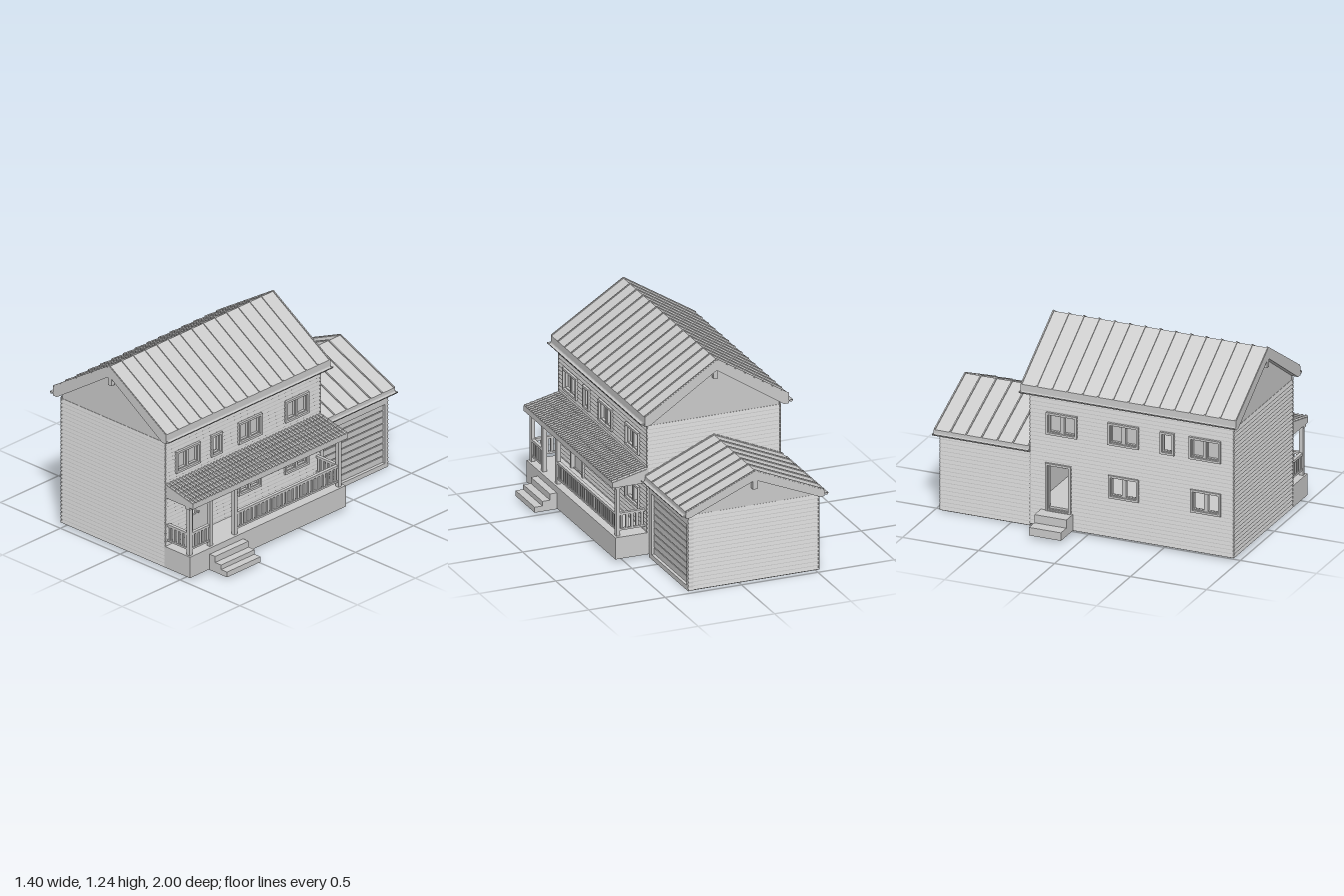
import * as THREE from 'three';
import { mergeGeometries } from 'three/addons/utils/BufferGeometryUtils.js';

const mat = new THREE.MeshStandardMaterial({ color: 0xcccccc, side: THREE.DoubleSide, flatShading: true });
const CX = -0.09; // ridge line of both roofs

function add(parent, name, geo) {
  const m = new THREE.Mesh(geo, mat);
  m.name = name;
  parent.add(m);
  return m;
}
function boxGeo(x0, x1, y0, y1, z0, z1) {
  return new THREE.BoxGeometry(x1 - x0, y1 - y0, z1 - z0)
    .translate((x0 + x1) / 2, (y0 + y1) / 2, (z0 + z1) / 2);
}
const box = (parent, name, ...b) => add(parent, name, boxGeo(...b));

// Extrude an outline in x,y from z0 to z1
function prism(points, z0, z1) {
  const shape = new THREE.Shape(points.map(p => new THREE.Vector2(...p)));
  return new THREE.ExtrudeGeometry(shape, { depth: z1 - z0, bevelEnabled: false }).translate(0, 0, z0);
}

// A wall frame: local +x points outward, local z runs along the wall
function wallFrame(parent, name, angle) {
  const g = new THREE.Group();
  g.name = name;
  g.rotation.y = angle;
  parent.add(g);
  return g;
}

// Lapped boards, interrupted at openings [z0, z1, y0, y1]
function siding(g, face, y0, y1, z0, z1, openings = []) {
  const n = Math.round((y1 - y0) / 0.025), h = (y1 - y0) / n, geos = [];
  for (let i = 0; i < n; i++) {
    const a = y0 + i * h, b = a + h;
    let start = z0;
    const cuts = openings.filter(o => o[2] < b - 0.006 && o[3] > a + 0.006).sort((p, q) => p[0] - q[0]);
    for (const c of [...cuts, [z1, z1]]) {
      if (c[0] - start > 0.002) {
        geos.push(prism([[face - 0.009, a], [face, a], [face, a + 0.004], [face - 0.007, b], [face - 0.009, b]], start, c[0]));
      }
      start = Math.max(start, c[1]);
    }
  }
  add(g, 'siding', mergeGeometries(geos));
}

// Flat wall with real openings behind the siding
function piercedWall(g, face, y0, y1, z0, z1, openings) {
  const rect = (T, a, b, c, d) => new T([[a, c], [b, c], [b, d], [a, d]].map(p => new THREE.Vector2(...p)));
  const s = rect(THREE.Shape, z0, z1, y0, y1);
  s.holes = openings.map(o => rect(THREE.Path, ...o));
  const geo = new THREE.ExtrudeGeometry(s, { depth: 0.03, bevelEnabled: false });
  add(g, 'wall', geo.rotateY(-Math.PI / 2).translate(face - 0.009, 0, 0));
}

// Casing, sashes and centre bar around an opening
function windowTrim(g, face, [z0, z1, y0, y1], double, glazed) {
  const w = 0.014, o = face + 0.011, i = face - 0.012;
  const parts = [
    boxGeo(i, o, y0 - w, y0, z0 - w, z1 + w), boxGeo(i, o, y1, y1 + w, z0 - w, z1 + w),
    boxGeo(i, o, y0, y1, z0 - w, z0), boxGeo(i, o, y0, y1, z1, z1 + w),
  ];
  const m = (z0 + z1) / 2, s = 0.007;
  if (double) parts.push(boxGeo(i - 0.01, face, y0, y1, m - s, m + s));
  const sashes = double ? [[z0, m - s], [m + s, z1]] : [[z0, z1]];
  for (const [a, b] of sashes) {
    parts.push(boxGeo(i - 0.01, face - 0.004, y0, y1, a, a + s), boxGeo(i - 0.01, face - 0.004, y0, y1, b - s, b),
      boxGeo(i - 0.01, face - 0.004, y0, y0 + s, a, b), boxGeo(i - 0.01, face - 0.004, y1 - s, y1, a, b));
  }
  if (glazed) parts.push(boxGeo(i - 0.012, i - 0.009, y0, y1, z0, z1));
  add(g, 'window', mergeGeometries(parts));
}

// Gable roof with standing seams, gutters and a king post at each exposed end
function gableRoof(parent, name, o) {
  const g = new THREE.Group();
  g.name = name;
  parent.add(g);
  const { half, wall, ridge, eave, soffit, under, z0, z1 } = o;
  add(g, 'roofSlab', prism([[CX - half, soffit], [CX - wall, soffit], [CX, under], [CX + wall, soffit],
    [CX + half, soffit], [CX + half, eave], [CX, ridge], [CX - half, eave]], z0, z1));
  const n = Math.round((z1 - z0) / 0.1), seams = [], t = 0.007;
  for (const s of [-1, 1]) {
    for (let i = 0; i <= n; i++) {
      const z = z0 + 0.006 + (z1 - z0 - 0.012) * i / n;
      seams.push(prism([[CX, ridge - 0.002], [CX, ridge + t], [CX + s * half, eave + t], [CX + s * half, eave - 0.002]], z - 0.004, z + 0.004));
    }
    const x = CX + s * (half + 0.014);
    const arc = new THREE.CylinderGeometry(0.013, 0.013, z1 - z0, 8, 1, false, 0, Math.PI)
      .rotateZ(-Math.PI / 2).rotateY(Math.PI / 2);
    arc.computeBoundingBox();
    const c = arc.boundingBox.getCenter(new THREE.Vector3());
    add(g, 'gutter', arc.translate(x - c.x, soffit + 0.014 - c.y, (z0 + z1) / 2 - c.z));
  }
  add(g, 'seams', mergeGeometries(seams));
  for (const z of o.posts) box(g, 'kingPost', CX - 0.014, CX + 0.014, under - 0.06, under + 0.01, z - 0.014, z + 0.014);
}

function mainHouse(root) {
  const g = new THREE.Group();
  g.name = 'mainHouse';
  root.add(g);
  // Floors and ceiling
  box(g, 'foundation', -0.52, 0.34, 0.015, 0.15, -0.365, 0.96);
  box(g, 'upperFloor', -0.5, 0.32, 0.5, 0.53, -0.36, 0.95);
  box(g, 'ceiling', -0.52, 0.34, 0.85, 0.87, -0.365, 0.96);
  // End walls with plain gables
  const gable = [[-0.521, 0.02], [0.341, 0.02], [0.341, 0.88], [CX, 1.17], [-0.521, 0.88]];
  add(g, 'frontWall', prism(gable, 0.93, 0.961));
  add(g, 'backWall', prism(gable, -0.366, -0.336));
  siding(wallFrame(g, 'frontSiding', -Math.PI / 2), 0.97, 0.02, 0.85, -0.35, 0.53);
  siding(wallFrame(g, 'backSiding', Math.PI / 2), 0.375, 0.02, 0.85, -0.53, 0.35);

  // Porch side
  const right = wallFrame(g, 'porchSide', 0);
  const upR = [[0.69, 0.87, 0.635, 0.75], [0.155, 0.33, 0.635, 0.75], [-0.25, -0.075, 0.635, 0.75]];
  const slotR = [0.5, 0.565, 0.635, 0.75];
  const lowR = [[0.16, 0.33, 0.29, 0.4], [-0.25, -0.07, 0.29, 0.4]];
  const door = [0.585, 0.745, 0.16, 0.425];
  const allR = [...upR, slotR, ...lowR, door];
  piercedWall(right, 0.35, 0.02, 0.87, -0.366, 0.961, allR);
  siding(right, 0.35, 0.02, 0.87, -0.375, 0.97, allR);
  upR.forEach(w => windowTrim(right, 0.35, w, true, true));
  windowTrim(right, 0.35, slotR, false, false);
  lowR.forEach(w => windowTrim(right, 0.35, w, true, false));
  windowTrim(right, 0.35, door, false, false);
  box(right, 'doorLeaf', 0.322, 0.338, 0.16, 0.425, 0.585, 0.695);
  box(right, 'sidelightPanel', 0.322, 0.338, 0.16, 0.28, 0.695, 0.745);
  box(right, 'sidelightHead', 0.322, 0.338, 0.4, 0.425, 0.695, 0.745);
  box(right, 'doorKnob', 0.338, 0.348, 0.285, 0.295, 0.675, 0.685);

  // Opposite side, where local z is reversed
  const left = wallFrame(g, 'stepSide', Math.PI);
  const flip = o => [-o[1], -o[0], o[2], o[3]];
  const upL = upR.map(flip);
  const lowL = [[-0.33, -0.16, 0.29, 0.41], [-0.87, -0.7, 0.29, 0.41]];
  const backDoor = [0.115, 0.255, 0.13, 0.42];
  const allL = [...upL, flip(slotR), ...lowL, backDoor];
  piercedWall(left, 0.53, 0.02, 0.87, -0.961, 0.366, allL);
  siding(left, 0.53, 0.02, 0.87, -0.97, 0.375, allL);
  upL.forEach(w => windowTrim(left, 0.53, w, true, true));
  windowTrim(left, 0.53, flip(slotR), false, false);
  lowL.forEach(w => windowTrim(left, 0.53, w, true, false));
  windowTrim(left, 0.53, backDoor, false, false);
  box(g, 'sideStep', -0.625, -0.52, 0.02, 0.125, -0.3, -0.09);
  box(g, 'sideStep', -0.705, -0.625, 0.02, 0.072, -0.3, -0.09);

  gableRoof(g, 'mainRoof', { half: 0.472, wall: 0.44, ridge: 1.228, eave: 0.93, soffit: 0.87, under: 1.16, z0: -0.42, z1: 1, posts: [0.984, -0.39] });
}

function porch(root) {
  const g = new THREE.Group();
  g.name = 'porch';
  root.add(g);
  box(g, 'deck', 0.34, 0.555, 0.02, 0.16, -0.375, 0.97);
  [[0.6, 0.12], [0.65, 0.08], [0.7, 0.05]].forEach(([x, y]) => box(g, 'porchStep', x - 0.05, x, 0.015, y, 0.51, 0.8));
  // Posts with caps and bases
  for (const z of [0.945, 0.77, 0.557, -0.34]) {
    box(g, 'post', 0.514, 0.54, 0.16, 0.49, z - 0.013, z + 0.013);
    box(g, 'postCap', 0.508, 0.546, 0.468, 0.486, z - 0.019, z + 0.019);
  }
  // Railings along the front, then across both ends
  const rails = [];
  const span = (a, b, count, piece) => {
    rails.push(piece(a, b, 0.29, 0.306, 0.011), piece(a, b, 0.192, 0.204, 0.009));
    for (let i = 0; i < count; i++) {
      const c = a + (b - a) * (i + 0.5) / count;
      rails.push(piece(c - 0.008, c + 0.008, 0.2, 0.295, 0.006));
    }
  };
  const along = (a, b, y0, y1, w) => boxGeo(0.527 - w, 0.527 + w, y0, y1, a, b);
  span(0.783, 0.932, 5, along);
  span(-0.327, 0.544, 27, along);
  for (const z of [0.945, -0.34]) span(0.35, 0.516, 5, (a, b, y0, y1, w) => boxGeo(a, b, y0, y1, z - w, z + w));
  add(g, 'railing', mergeGeometries(rails));
  // Lean-to roof with rows of barrel tiles
  add(g, 'porchRoof', prism([[0.34, 0.485], [0.575, 0.485], [0.575, 0.52], [0.34, 0.574]], -0.375, 0.965));
  const tiles = [], cols = 50, rows = 6, slope = Math.atan2(0.054, 0.235);
  for (let r = 0; r < rows; r++) {
    for (let c = 0; c < cols; c++) {
      const x = 0.36 + 0.039 * r, z = -0.375 + 1.34 * (c + 0.5) / cols;
      tiles.push(new THREE.CylinderGeometry(0.008, 0.011, 0.042, 6, 1)
        .rotateZ(Math.PI / 2 - slope).translate(x, 0.574 - (x - 0.34) * 0.23 + 0.001, z));
    }
  }
  // Wide ends of the tiles face down the slope
  tiles.forEach(t => t.computeVertexNormals());
  add(g, 'roofTiles', mergeGeometries(tiles));
}

function garage(root) {
  const g = new THREE.Group();
  g.name = 'garage';
  root.add(g);
  box(g, 'garageBody', -0.516, 0.305, 0, 0.5, -0.962, -0.37);
  add(g, 'garageGable', prism([[-0.516, 0.485], [0.33, 0.485], [0.33, 0.5], [CX, 0.67], [-0.516, 0.5]], -0.962, -0.37));
  siding(wallFrame(g, 'garageBackSiding', Math.PI / 2), 0.97, 0.005, 0.49, -0.525, 0.335);
  siding(wallFrame(g, 'garageSideSiding', Math.PI), 0.525, 0.005, 0.49, 0.375, 0.97);
  // Door surround and panelled door
  box(g, 'doorJamb', 0.3, 0.335, 0, 0.49, -0.41, -0.375);
  box(g, 'doorJamb', 0.3, 0.335, 0, 0.49, -0.966, -0.942);
  box(g, 'doorHeader', 0.3, 0.335, 0.425, 0.49, -0.945, -0.405);
  box(g, 'doorSill', 0.3, 0.335, 0, 0.03, -0.945, -0.405);
  for (let i = 0; i < 9; i++) {
    const y = 0.032 + i * 0.0437;
    box(g, 'garageDoorPanel', 0.3, 0.317, y, y + 0.038, -0.942, -0.41);
  }
  gableRoof(g, 'garageRoof', { half: 0.452, wall: 0.425, ridge: 0.725, eave: 0.528, soffit: 0.488, under: 0.665, z0: -1, z1: -0.37, posts: [-0.984] });
}

export function createModel() {
  const root = new THREE.Group();
  root.name = 'house';
  mainHouse(root);
  porch(root);
  garage(root);
  return root;
}
